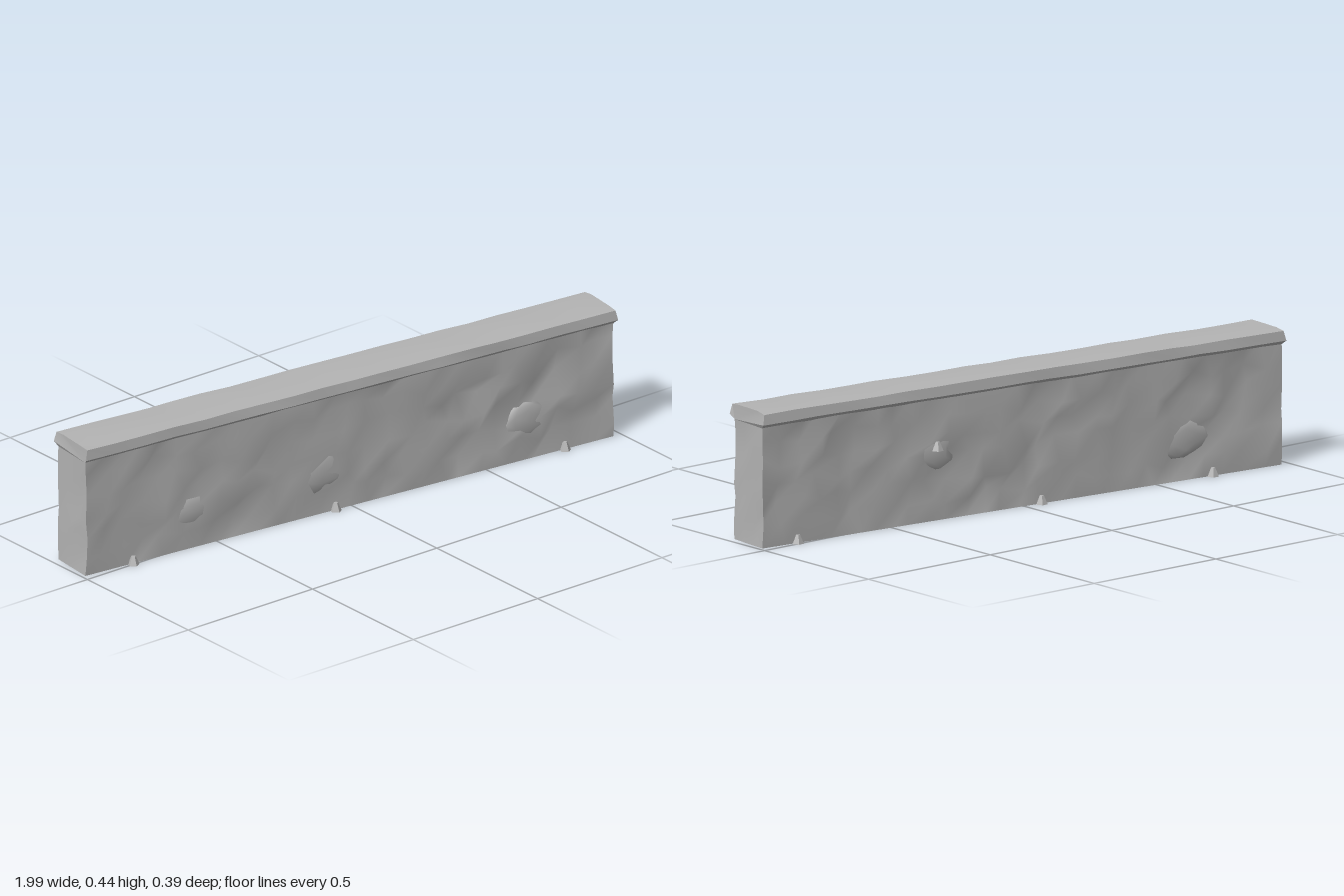
import * as THREE from 'three';
import { mergeVertices, toCreasedNormals } from 'three/addons/utils/BufferGeometryUtils.js';

// Repeatable value between -1 and 1 for a grid position
function noise(a, b, c = 0) {
  const s = Math.sin(a * 127.1 + b * 311.7 + c * 74.7) * 43758.5453;
  return (s - Math.floor(s)) * 2 - 1;
}

// Hewn stone block: a gridded box with jittered, dented sides
function wallGeometry() {
  const L = 1.97, H = 0.397, W = 0.154;
  const nx = 28, ny = 6, nz = 3;
  const g = new THREE.BoxGeometry(L, H, W, nx, ny, nz);
  const p = g.attributes.position;
  for (let n = 0; n < p.count; n++) {
    const x = p.getX(n), y = p.getY(n), z = p.getZ(n);
    const i = Math.round((x / L + 0.5) * nx);
    const j = Math.round((y / H + 0.5) * ny);
    const k = Math.round((z / W + 0.5) * nz);
    const insideX = i > 0 && i < nx, insideY = j > 0 && j < ny;
    const onSide = k === 0 || k === nz;
    let px = x, py = y, pz = z;
    if (insideX) px += noise(i, j, k) * 0.022;
    if (insideY) py += noise(i, j, k + 9) * 0.02;
    if (onSide && insideY) {
      const dent = Math.max(0, noise(i, j, k + 20)) * (insideX ? 0.017 : 0.004);
      pz -= Math.sign(z) * (dent - 0.003);
    }
    if (!insideX && insideY) px -= Math.sign(x) * Math.max(0, noise(i, j, k + 30)) * 0.007;
    p.setXYZ(n, px, py, pz);
  }
  g.translate(0, H / 2, 0);
  g.computeVertexNormals();
  return g;
}

// Coping: a bevelled profile swept along the wall, with worn edges
function copingGeometry() {
  const profile = [[0.076, 0.386], [0.093, 0.4], [0.088, 0.432], [0.05, 0.436],
    [-0.05, 0.436], [-0.088, 0.432], [-0.093, 0.4], [-0.076, 0.386]];
  const stations = [[-0.985, 0.386], [-0.992, 0.4]];
  const n = 18, m = profile.length, pos = [], idx = [];
  for (let i = 0; i <= n; i++) {
    const end = i === 0 ? -1 : i === n ? 1 : 0;
    const x0 = -0.991 + 1.982 * i / n;
    profile.forEach(([z, y], j) => {
      let x = x0 + (end ? 0 : noise(i, j, 3) * 0.015);
      if (end) x = end * (y < 0.39 ? stations[0][0] : y > 0.41 ? stations[0][0] : stations[1][0]) * -1;
      pos.push(x, y + (j === 0 || j === m - 1 ? 0 : noise(i, j, 5) * 0.0015),
        z - Math.sign(z) * (end ? 0 : Math.abs(noise(i, j, 4)) * 0.004));
    });
  }
  for (let i = 0; i < n; i++) {
    for (let j = 0; j < m; j++) {
      const a = i * m + j, b = i * m + (j + 1) % m;
      idx.push(a, a + m, b, b, a + m, b + m);
    }
  }
  for (let j = 1; j < m - 1; j++) {
    idx.push(0, j, j + 1);
    idx.push(n * m, n * m + j + 1, n * m + j);
  }
  const g = new THREE.BufferGeometry();
  g.setAttribute('position', new THREE.Float32BufferAttribute(pos, 3));
  g.setIndex(idx);
  return toCreasedNormals(g, 0.45);
}

// Rough lump used for stones and pebbles
function stoneGeometry(rx, ry, rz, seed) {
  let g = new THREE.IcosahedronGeometry(1, 1);
  g.deleteAttribute('normal');
  g.deleteAttribute('uv');
  g = mergeVertices(g, 0.001);
  const p = g.attributes.position;
  for (let n = 0; n < p.count; n++) {
    const s = 1 + noise(n, seed) * 0.16;
    p.setXYZ(n, p.getX(n) * rx * s, p.getY(n) * ry * s, p.getZ(n) * rz * s);
  }
  g.computeVertexNormals();
  return g;
}

export function createModel() {
  const stone = new THREE.MeshStandardMaterial({ color: 0xb4b4b4 });
  stone.name = 'grey stone';
  const group = new THREE.Group();
  group.name = 'stoneWall';

  // The wall runs at a slight angle to the x axis
  const wall = new THREE.Group();
  wall.name = 'wall';
  wall.rotation.y = -0.1035;
  group.add(wall);

  const add = (name, geometry, x = 0, y = 0, z = 0) => {
    const mesh = new THREE.Mesh(geometry, stone);
    mesh.name = name;
    mesh.position.set(x, y, z);
    wall.add(mesh);
    return mesh;
  };

  add('wallBody', wallGeometry());
  add('coping', copingGeometry());

  // Stones barely standing out of the faces: x, y, side
  [[-0.58, 0.12, 1], [-0.1, 0.13, 1], [0.66, 0.13, 1],
    [0.34, 0.22, -1], [-0.62, 0.13, -1]].forEach(([x, y, side], i) => {
    add('facingStone', stoneGeometry(0.085, 0.06, 0.013, i), x, y, side * 0.069);
  });

  // Small chips along the foot, and one higher up at the back
  [[-0.81, 0.014, 1], [-0.055, 0.014, 1], [0.8, 0.014, 1], [-0.72, 0.014, -1],
    [-0.07, 0.014, -1], [0.325, 0.24, -1], [0.855, 0.014, -1]].forEach(([x, y, side], i) => {
    const chip = new THREE.CylinderGeometry(0.007, 0.019, 0.028, 5).toNonIndexed();
    chip.computeVertexNormals();
    const mesh = add('chip', chip, x, y, side * 0.084);
    mesh.rotation.y = i * 1.3;
  });

  return group;
}
